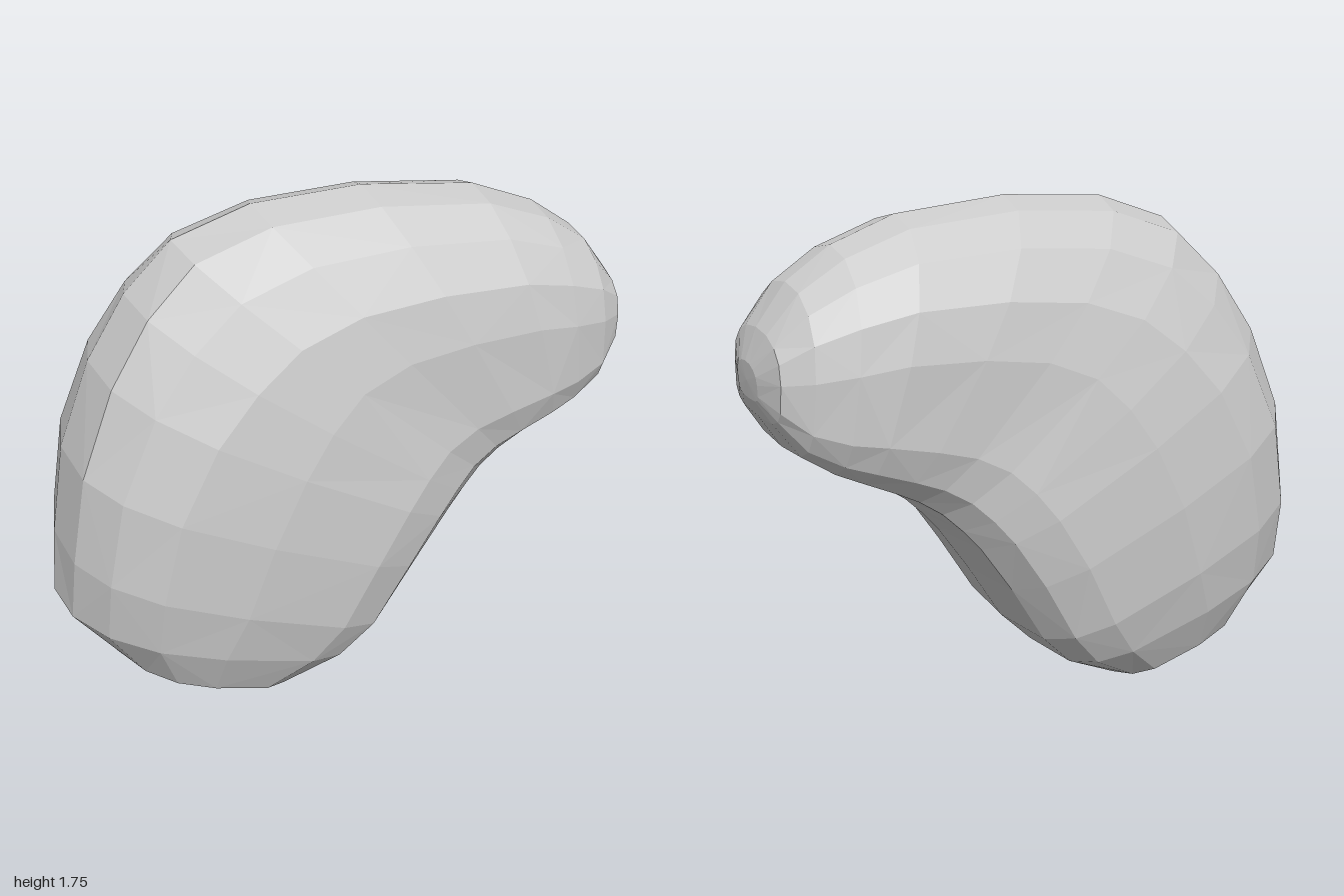
import * as THREE from 'three';

// Cross-sections along the bend:
// outer edge x, y, inner edge x, y, half depth in z, squareness of the outer half
const SECTIONS = [
  [-0.71, 0.11, -0.38, 0.00, 0.18, 2.1],
  [-0.83, 0.21, -0.22, 0.03, 0.32, 2.2],
  [-1.00, 0.43, 0.00, 0.14, 0.395, 2.3],
  [-0.98, 0.66, 0.12, 0.26, 0.435, 2.7],
  [-0.93, 0.97, 0.25, 0.47, 0.45, 2.75],
  [-0.82, 1.26, 0.36, 0.63, 0.44, 2.5],
  [-0.69, 1.47, 0.42, 0.70, 0.42, 2.2],
  [-0.53, 1.63, 0.48, 0.76, 0.395, 2.0],
  [-0.27, 1.72, 0.55, 0.81, 0.375, 1.95],
  [0.10, 1.745, 0.62, 0.85, 0.365, 1.95],
  [0.49, 1.71, 0.72, 0.90, 0.345, 2.0],
  [0.71, 1.63, 0.80, 0.94, 0.315, 2.1],
  [0.86, 1.53, 0.90, 1.01, 0.275, 2.2],
  [0.96, 1.40, 0.97, 1.12, 0.21, 2.3],
  [1.00, 1.30, 0.995, 1.18, 0.09, 2.2],
];
const LOWER_TIP = [-0.55, 0.045, 0];
const UPPER_TIP = [1.0, 1.24, 0];
const SIDES = 16;
const INNER_SQUARENESS = 3.9;

const bulge = (v, power) => Math.sign(v) * Math.pow(Math.abs(v), 2 / power);

function beanGeometry() {
  const positions = [];
  const index = [];

  // Superellipse rings, starting at the outer edge and turning towards +z
  for (const [ox, oy, ix, iy, depth, squareness] of SECTIONS) {
    for (let j = 0; j < SIDES; j++) {
      const a = (j / SIDES) * Math.PI * 2;
      const power = Math.cos(a) > 0 ? squareness : INNER_SQUARENESS;
      const t = bulge(Math.cos(a), power);
      positions.push(
        (ox + ix) / 2 + (t * (ox - ix)) / 2,
        (oy + iy) / 2 + (t * (oy - iy)) / 2,
        depth * bulge(Math.sin(a), power),
      );
    }
  }
  const lower = positions.length / 3;
  const upper = lower + 1;
  positions.push(...LOWER_TIP, ...UPPER_TIP);

  // Skin between rings, with alternating diagonals for irregular facets
  const last = SECTIONS.length - 1;
  for (let j = 0; j < SIDES; j++) {
    const k = (j + 1) % SIDES;
    for (let i = 0; i < last; i++) {
      const a = i * SIDES + j;
      const b = i * SIDES + k;
      const c = b + SIDES;
      const d = a + SIDES;
      if ((i + j) % 2) index.push(a, b, c, a, c, d);
      else index.push(a, b, d, b, c, d);
    }
    // Rounded ends
    index.push(lower, k, j);
    index.push(last * SIDES + j, last * SIDES + k, upper);
  }

  const geometry = new THREE.BufferGeometry();
  geometry.setAttribute('position', new THREE.Float32BufferAttribute(positions, 3));
  geometry.setIndex(index);
  const faceted = geometry.toNonIndexed();
  faceted.computeVertexNormals();
  return faceted;
}

export function createModel() {
  const group = new THREE.Group();
  group.name = 'bean';
  const material = new THREE.MeshStandardMaterial({ color: 0xcccccc, flatShading: true });
  const body = new THREE.Mesh(beanGeometry(), material);
  body.name = 'beanBody';
  group.add(body);
  return group;
}
